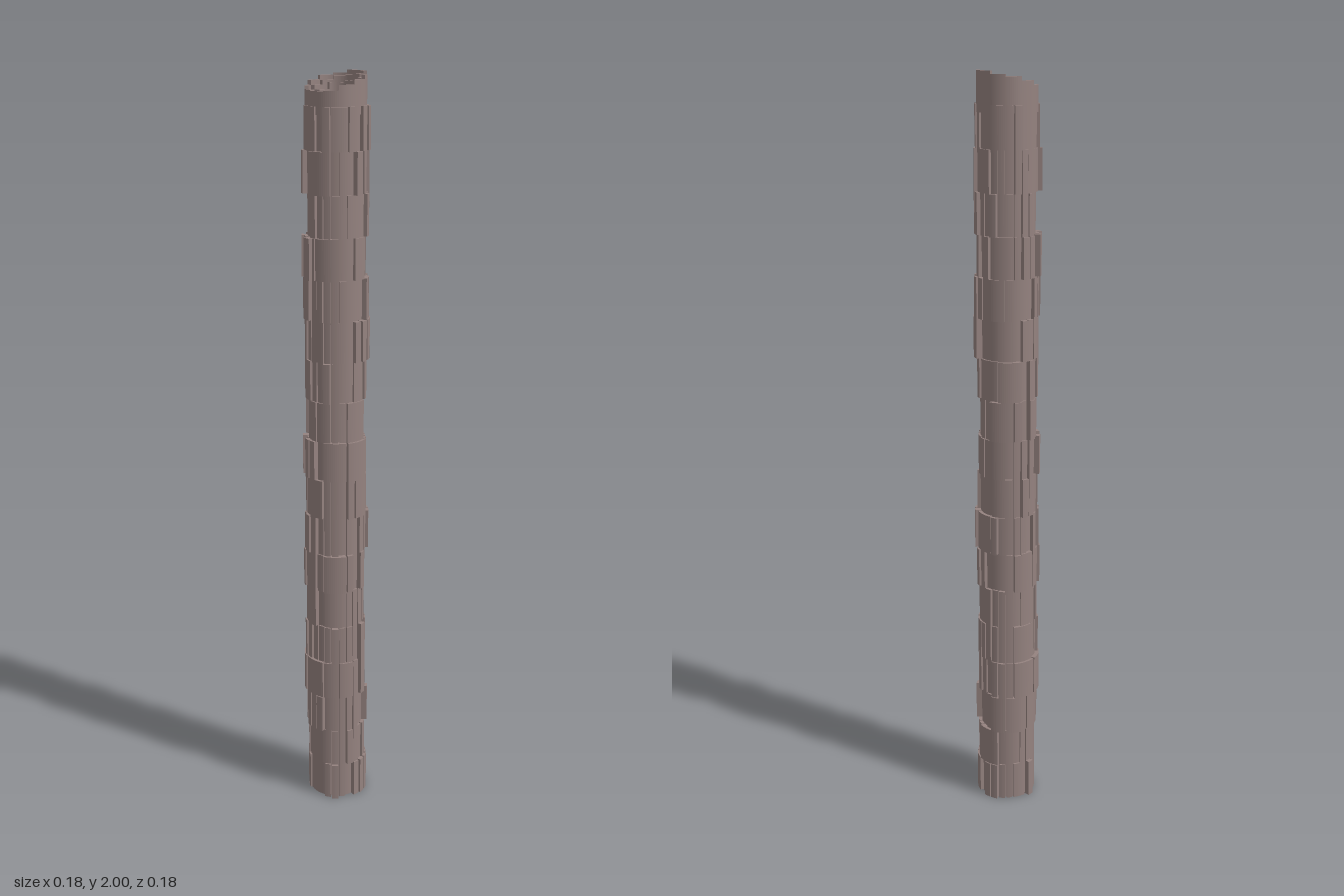
import * as THREE from 'three';

const SECTORS = 24;
const ROWS = 18;
const ROW_H = 1.92 / ROWS;
const CORE_R = 0.072;
const STEP = (Math.PI * 2) / SECTORS;

// Small seeded random generator
function seeded(seed) {
  let s = seed;
  return () => {
    s = (s * 1664525 + 1013904223) % 4294967296;
    return s / 4294967296;
  };
}

// Curved block between two radii and two angles (angle 0 = +x, 90 degrees = -z)
function sectorBlock(r0, r1, a0, a1, y0, y1) {
  const shape = new THREE.Shape();
  shape.absarc(0, 0, r1, a0, a1, false);
  shape.absarc(0, 0, r0, a1, a0, true);
  const segments = Math.max(2, Math.round((a1 - a0) / STEP) * 2);
  const geo = new THREE.ExtrudeGeometry(shape, { depth: y1 - y0, bevelEnabled: false, curveSegments: segments });
  geo.rotateX(-Math.PI / 2);
  geo.translate(0, y0, 0);
  return geo;
}

export function createModel() {
  const trunk = new THREE.Group();
  trunk.name = 'trunk';
  const wood = new THREE.MeshStandardMaterial({ color: 0x94827f });
  const rand = seeded(29);

  const add = (parent, geo, name) => {
    const mesh = new THREE.Mesh(geo, wood);
    mesh.name = name;
    parent.add(mesh);
    return mesh;
  };

  // Solid heartwood
  const core = new THREE.CylinderGeometry(CORE_R, CORE_R, 1.94, 48);
  core.translate(0, 0.97, 0);
  add(trunk, core, 'core');

  // Bark plates in even rows, each one to three sectors wide, at varied depths
  const bark = new THREE.Group();
  bark.name = 'bark';
  trunk.add(bark);
  const depths = [0, 0.077, 0.077, 0.081, 0.081, 0.085, 0.088];
  const gap = 0.025;
  for (let row = 0; row < ROWS; row++) {
    let i = 0;
    while (i < SECTORS) {
      const width = Math.min(SECTORS - i, rand() < 0.7 ? 1 : 2 + Math.floor(rand() * 2));
      const radius = depths[Math.floor(rand() * depths.length)];
      if (radius) {
        const geo = sectorBlock(CORE_R - 0.006, radius, i * STEP + gap, (i + width) * STEP - gap,
          row * ROW_H, (row + 1) * ROW_H);
        add(bark, geo, 'barkPlate');
      }
      i += width;
    }
  }

  // One loose plate standing out at the front
  const loose = new THREE.BoxGeometry(0.023, ROW_H, 0.02);
  loose.translate(0, 14.5 * ROW_H, 0.084);
  loose.rotateY(-0.5);
  add(bark, loose, 'loosePlate');

  // Splintered top: rings of stepped blocks, rising to the back
  const top = new THREE.Group();
  top.name = 'brokenTop';
  trunk.add(top);
  const rings = [
    { r0: 0.045, r1: 0.058, n: 8, drop: 0.022 },
    { r0: 0.058, r1: 0.068, n: 12, drop: 0.01 },
    { r0: 0.068, r1: 0.077, n: 12, drop: 0 },
  ];
  for (const { r0, r1, n, drop } of rings) {
    for (let i = 0; i < n; i++) {
      const a0 = (i / n) * Math.PI * 2;
      const a1 = ((i + 1) / n) * Math.PI * 2;
      const slope = Math.cos((a0 + a1) / 2 - Math.PI * 0.36);
      const height = Math.min(2, 1.978 + 0.023 * slope - drop + (rand() - 0.5) * 0.008);
      add(top, sectorBlock(r0, r1, a0, a1, 1.9, i === 2 && drop === 0 ? 2 : height), 'splinter');
    }
  }

  return trunk;
}
